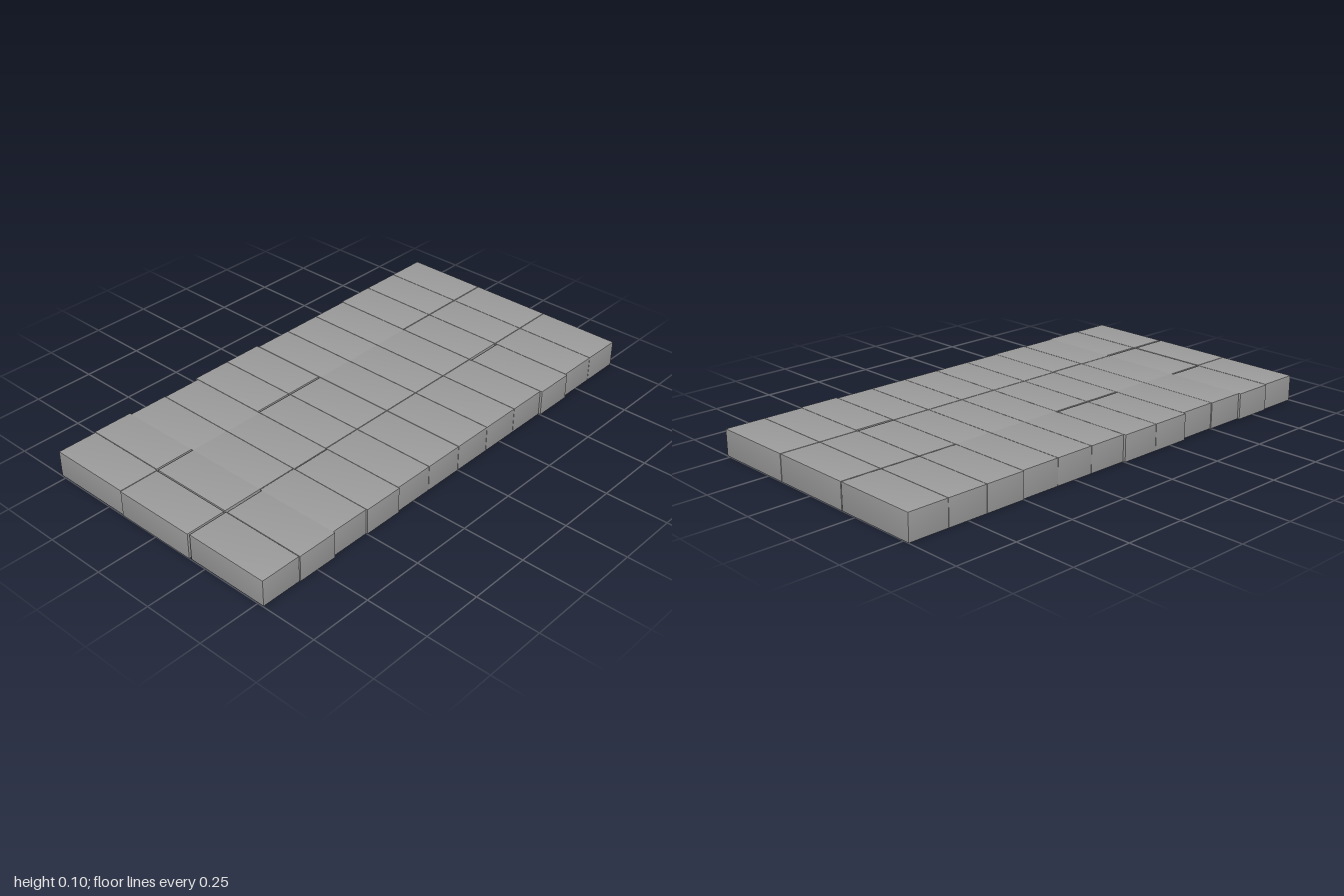
import * as THREE from 'three';

// Box whose face normals lean slightly outwards at the corners, for a faint pillowed shading
function softBox(width, height, depth, lean) {
  const geometry = new THREE.BoxGeometry(width, height, depth);
  const { position, normal } = geometry.attributes;
  const n = new THREE.Vector3(), corner = new THREE.Vector3();
  for (let i = 0; i < position.count; i++) {
    corner.fromBufferAttribute(position, i);
    corner.set(Math.sign(corner.x), Math.sign(corner.y), Math.sign(corner.z));
    n.fromBufferAttribute(normal, i).addScaledVector(corner, lean).normalize();
    normal.setXYZ(i, n.x, n.y, n.z);
  }
  return geometry;
}

// Slab of three rows of twelve blocks, each row slightly uneven
export function createModel() {
  const group = new THREE.Group();
  group.name = 'blockSlab';
  const material = new THREE.MeshStandardMaterial({ color: 0x9b9b9b });
  const columns = 12, pitch = 1 / 6, height = 0.105, depth = 0.345;
  const block = softBox(0.165, height, depth, 0.1);

  // Centre of each row, sideways offset of its first block, and z offsets in thousandths
  const rows = [
    { name: 'backRow', z: -0.348, first: 0.002, shift: [-2, -7, 2, 5, -7, -7, 2, 2, 2, -3, -3, -3] },
    { name: 'middleRow', z: 0, first: -0.001, shift: [-2, -2, -2, 2, -2, -2, -2, -2, -2, -2, -2, -2] },
    { name: 'frontRow', z: 0.346, first: 0.002, shift: [5, 8, 0, 5, 0, 0, 0, 0, 0, 8, 0, 0] },
  ];

  for (const { name, z, first, shift } of rows) {
    const row = new THREE.Group();
    row.name = name;
    for (let i = 0; i < columns; i++) {
      const mesh = new THREE.Mesh(block, material);
      mesh.name = 'block';
      const nudge = i === 0 ? first : i === 1 ? 0.003 : 0;
      const x = (i + 0.5 - columns / 2) * pitch + nudge;
      mesh.position.set(x, height / 2, z + shift[i] / 1000);
      row.add(mesh);
    }
    group.add(row);
  }
  return group;
}
